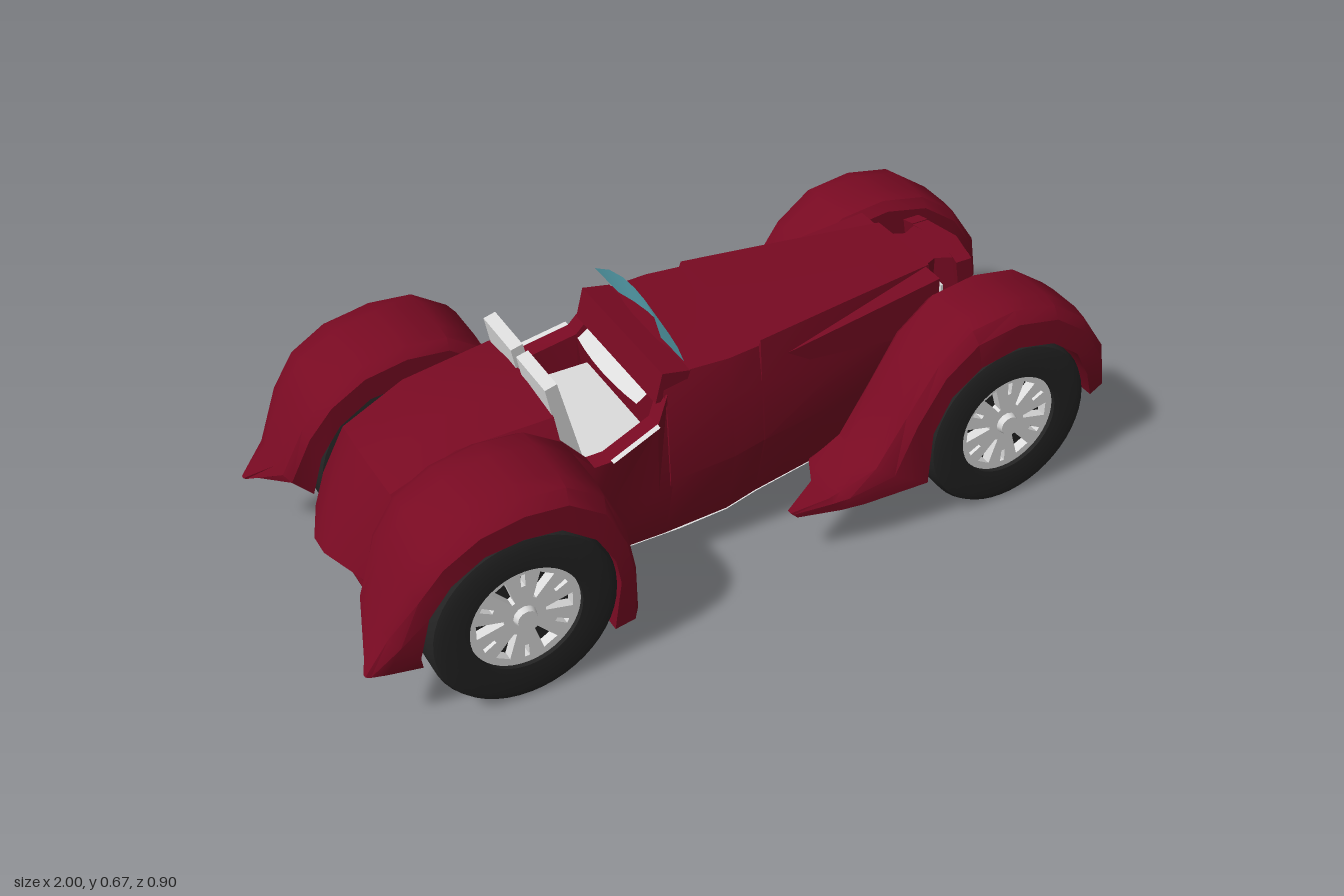
import * as THREE from 'three';
import { toCreasedNormals } from 'three/addons/utils/BufferGeometryUtils.js';

const mat = (name, color, side = THREE.FrontSide) => {
  const m = new THREE.MeshStandardMaterial({ color, side });
  m.name = name;
  return m;
};

// Closed solid through rings of [x, y, z] points, capped and oriented outwards
function loft(rings, crease) {
  const n = rings[0].length, pts = rings.flat().map(p => new THREE.Vector3(...p));
  let tris = [];
  for (let i = 0; i < rings.length - 1; i++) {
    for (let j = 0; j < n; j++) {
      const a = i * n + j, b = i * n + (j + 1) % n;
      tris.push([a, b, b + n], [a, b + n, a + n]);
    }
  }
  for (const [start, flip] of [[0, true], [(rings.length - 1) * n, false]]) {
    const c = new THREE.Vector3();
    for (let j = 0; j < n; j++) c.addScaledVector(pts[start + j], 1 / n);
    pts.push(c);
    for (let j = 0; j < n; j++) {
      const a = start + j, b = start + (j + 1) % n;
      tris.push(flip ? [pts.length - 1, b, a] : [pts.length - 1, a, b]);
    }
  }
  const volume = tris.reduce((s, [a, b, c]) =>
    s + pts[a].dot(new THREE.Vector3().crossVectors(pts[b], pts[c])), 0);
  if (volume < 0) tris = tris.map(([a, b, c]) => [a, c, b]);
  const g = new THREE.BufferGeometry().setFromPoints(pts);
  g.setIndex(tris.flat());
  return toCreasedNormals(g, crease);
}

// Open sheet between two rows of points
function sheet(rowA, rowB) {
  const n = rowA.length, index = [];
  const g = new THREE.BufferGeometry().setFromPoints(
    [...rowA, ...rowB].map(p => new THREE.Vector3(...p)));
  for (let i = 0; i < n - 1; i++) index.push(i, i + 1, i + 1 + n, i, i + 1 + n, i + n);
  g.setIndex(index);
  return toCreasedNormals(g, 0.5);
}

// Symmetric ring at x from a half outline of [y, halfWidth]; sweep bends the sides forward
const bodyRing = (x, half, sweep = 0) => [
  ...half.map(([y, z]) => [x + sweep * z, y, z]),
  ...half.slice().reverse().map(([y, z]) => [x + sweep * z, y, -z])];

export function createModel() {
  const car = new THREE.Group();
  const red = mat('darkRedPaint', 0x780a22);
  const pale = mat('paleGrey', 0xdcdcdc, THREE.DoubleSide);
  const black = mat('blackRubber', 0x232323);
  const glass = mat('blueGlass', 0x70cfe0, THREE.DoubleSide);
  const add = (name, geo, material, parent = car) => {
    const m = new THREE.Mesh(geo, material);
    m.name = name;
    parent.add(m);
    return m;
  };

  // Rear deck and pointed tail
  add('tail', loft([
    bodyRing(-0.96, [[0.165, 0.17], [0.18, 0.19], [0.2, 0.19], [0.225, 0.15], [0.235, 0.03]], 0.4),
    bodyRing(-0.91, [[0.155, 0.17], [0.2, 0.19], [0.27, 0.19], [0.32, 0.14], [0.33, 0.04]], 0.25),
    bodyRing(-0.83, [[0.14, 0.17], [0.22, 0.2], [0.36, 0.2], [0.43, 0.14], [0.45, 0.04]], 0.1),
    bodyRing(-0.66, [[0.11, 0.18], [0.25, 0.22], [0.42, 0.22], [0.5, 0.15], [0.52, 0.05]]),
    bodyRing(-0.43, [[0.1, 0.19], [0.25, 0.23], [0.42, 0.23], [0.52, 0.17], [0.54, 0.05]]),
  ], 0.45), red);

  // Cowl and tapering bonnet
  add('bonnet', loft([
    bodyRing(-0.17, [[0.1, 0.2], [0.28, 0.235], [0.46, 0.22], [0.55, 0.19], [0.555, 0.06]]),
    bodyRing(0, [[0.11, 0.2], [0.29, 0.235], [0.46, 0.22], [0.55, 0.2], [0.552, 0.06]]),
    bodyRing(0.085, [[0.124, 0.19], [0.3, 0.225], [0.45, 0.21], [0.55, 0.19], [0.552, 0.06]]),
    bodyRing(0.09, [[0.125, 0.19], [0.3, 0.225], [0.45, 0.21], [0.564, 0.19], [0.566, 0.06]]),
    bodyRing(0.35, [[0.14, 0.155], [0.3, 0.18], [0.42, 0.175], [0.564, 0.15], [0.566, 0.05]]),
    bodyRing(0.61, [[0.17, 0.11], [0.3, 0.125], [0.42, 0.125], [0.562, 0.11], [0.564, 0.04]]),
  ], 0.3), red);

  // Cowl lip and curved dashboard
  add('cowlLip', loft([-0.2, 0, 0.2].map(z => [
    [-0.19, 0.49, z], [-0.172, 0.566, z], [-0.1, 0.552, z], [-0.12, 0.49, z]]), 0.3), red);
  const ts = [-1, -0.67, -0.33, 0, 0.33, 0.67, 1];
  add('dashboard', sheet(ts.map(t => [-0.225 + 0.012 * t * t, 0.465, 0.15 * t]),
    ts.map(t => [-0.188 + 0.012 * t * t, 0.49, 0.15 * t])), pale);

  // Windscreen, bowed in plan with an arched top
  add('windscreen', sheet(ts.map(t => [-0.07 - 0.025 * t * t, 0.55, 0.162 * t]),
    ts.map(t => [-0.135 - 0.02 * t * t, 0.67 - 0.032 * Math.abs(t) ** 3, 0.162 * t])), glass);

  // Underside
  const floor = [[-0.88, 0.15, 0.13], [-0.66, 0.107, 0.18], [-0.4, 0.097, 0.2], [-0.13, 0.097, 0.2],
    [0, 0.106, 0.2], [0.09, 0.121, 0.19], [0.35, 0.137, 0.155], [0.61, 0.166, 0.108],
    [0.66, 0.172, 0.06], [0.76, 0.177, 0.08]];
  add('underside', sheet(floor, floor.map(([x, y, z]) => [x, y, -z])), pale);
  add('cockpitFloor', new THREE.BoxGeometry(0.28, 0.03, 0.4), red).position.set(-0.3, 0.122, 0);

  // Pointed radiator shell: plan outline stacked upwards, front leaning back
  const front = (y, z) => 0.83 - 0.3 * Math.abs(z) - 0.17 * (y - 0.18);
  add('radiatorShell', loft([0.18, 0.3, 0.45, 0.54].map(y => {
    const half = [[0.58, 0.1], [0.66, 0.065], [0.73, 0.1], [front(y, 0.112) - 0.028, 0.112]];
    return [...half.map(([x, z]) => [x, y, z]), [front(y, 0) - 0.028, y, 0],
      ...half.reverse().map(([x, z]) => [x, y, -z])];
  }), 0.3), red);
  // Raised frame bars: drops lower the centre of the bottom and top edges
  const bar = (name, zs, y0, y1, drop0 = 0, drop1 = 0) => add(name, loft(zs.map(z => {
    const a = z === 0 ? y0 - drop0 : y0, b = z === 0 ? y1 - drop1 : y1;
    return [[front(a, z) - 0.045, a, z], [front(a, z), a, z], [front(b, z), b, z],
      [front(b, z) - 0.045, b, z]];
  }), 0.3), red);
  const across = [-0.115, 0, 0.115];
  bar('grilleTopBar', across, 0.5, 0.545, 0.018, 0.01);
  bar('grilleMiddleBar', across, 0.3, 0.34);
  bar('grilleBottomBar', across, 0.185, 0.222, 0.015);
  bar('grilleLeftBar', [0.087, 0.115], 0.185, 0.545);
  bar('grilleRightBar', [-0.115, -0.087], 0.185, 0.545);
  const grille = (name, bottom, top) => {
    const row = y => [-0.088, 0, 0.088].map(z => [front(y, z) - 0.018, y, z]);
    add(name, sheet(row(bottom), row(top)), pale);
  };
  grille('upperGrille', 0.335, 0.505);
  grille('lowerGrille', 0.215, 0.305);

  // Wheel parts, axis along z
  const tyreGeo = h => {
    const g = new THREE.LatheGeometry([[0, -h], [0.2, -h], [0.22, -h + 0.006], [0.227, -h + 0.02],
      [0.227, h - 0.02], [0.22, h - 0.006], [0.2, h], [0.136, h - 0.004], [0.134, h - 0.045],
      [0, h - 0.045]].map(p => new THREE.Vector2(...p)), 48);
    return toCreasedNormals(g.rotateX(Math.PI / 2), 0.6);
  };
  const rim = new THREE.Shape().absarc(0, 0, 0.136, 0, Math.PI * 2);
  const cut = (a, r0, w0, r1, w1) => {
    const c = Math.cos(a), s = Math.sin(a);
    rim.holes.push(new THREE.Path([[r0, w0], [r1, w1], [r1, -w1], [r0, -w0]].map(([u, v]) =>
      new THREE.Vector2(u * c - v * s, u * s + v * c))));
  };
  for (let i = 0; i < 6; i++) {
    const a = i * Math.PI / 3;
    cut(a, 0.05, 0.004, 0.116, 0.019);
    cut(a + Math.PI / 6, 0.085, 0.005, 0.118, 0.006);
  }
  const rimGeo = new THREE.ExtrudeGeometry(rim, { depth: 0.025, bevelEnabled: false, curveSegments: 20 });
  const hubGeo = new THREE.CylinderGeometry(0.024, 0.03, 0.02, 12).rotateX(Math.PI / 2);
  const wheel = (name, x, z, h, s) => {
    const g = new THREE.Group();
    g.name = name;
    add('tyre', tyreGeo(h), black, g);
    add('rim', rimGeo, pale, g).position.z = h - 0.04;
    add('hub', hubGeo, pale, g).position.z = h - 0.01;
    g.position.set(x, 0.23, z * s);
    if (s < 0) g.rotation.y = Math.PI;
    car.add(g);
  };

  // Fender stations: outer x, y, inner x, y, inboard z, outboard z
  const frontFender = [
    [1, 0.25, 0.945, 0.22, 0.19, 0.37], [0.975, 0.36, 0.915, 0.3, 0.175, 0.383],
    [0.9, 0.47, 0.87, 0.38, 0.172, 0.388], [0.8, 0.54, 0.79, 0.44, 0.172, 0.39],
    [0.68, 0.562, 0.685, 0.462, 0.175, 0.39], [0.56, 0.545, 0.58, 0.44, 0.178, 0.39],
    [0.47, 0.475, 0.5, 0.38, 0.182, 0.39], [0.385, 0.35, 0.455, 0.29, 0.188, 0.39],
    [0.3, 0.23, 0.45, 0.145, 0.193, 0.39], [0.215, 0.185, 0.28, 0.135, 0.2, 0.375],
    [0.185, 0.177, 0.22, 0.135, 0.27, 0.367], [0.09, 0.16, 0.11, 0.14, 0.33, 0.345]];
  const rearFender = [
    [-1, 0.18, -0.87, 0.155, 0.375, 0.4], [-0.945, 0.27, -0.88, 0.2, 0.22, 0.418],
    [-0.89, 0.4, -0.86, 0.32, 0.19, 0.437], [-0.83, 0.475, -0.81, 0.4, 0.18, 0.45],
    [-0.74, 0.527, -0.73, 0.45, 0.18, 0.452], [-0.63, 0.55, -0.64, 0.46, 0.18, 0.452],
    [-0.52, 0.54, -0.55, 0.45, 0.18, 0.452], [-0.43, 0.48, -0.47, 0.39, 0.18, 0.452],
    [-0.38, 0.37, -0.425, 0.31, 0.18, 0.452], [-0.355, 0.24, -0.412, 0.24, 0.18, 0.45],
    [-0.345, 0.11, -0.425, 0.1, 0.18, 0.44]];
  const fender = (stations, s) => loft(stations.map(([ox, oy, ix, iy, z0, z1]) => {
    const w = z1 - z0;
    return [[0, 0], [0.75, 0], [0.96, 0.1], [1, 0.3], [1, 0.7], [0.92, 0.88], [0.65, 0.99], [0, 1]]
      .map(([t, u]) => [ix + (ox - ix) * t, iy + (oy - iy) * t, s * (z0 + w * u)]);
  }), 0.65);

  // Seat back side profile and full-width cushion
  const seatShape = new THREE.Shape([[-0.445, 0.592], [-0.415, 0.6], [-0.355, 0.36], [-0.4, 0.36]]
    .map(p => new THREE.Vector2(...p)));
  const seatGeo = new THREE.ExtrudeGeometry(seatShape, { depth: 0.148, bevelEnabled: false });
  add('seatCushion', new THREE.BoxGeometry(0.22, 0.23, 0.34), pale).position.set(-0.29, 0.255, 0);

  // Door stations: x, top y, top z
  const door = [[-0.43, 0.47, 0.23], [-0.37, 0.405, 0.245], [-0.33, 0.41, 0.25],
    [-0.2, 0.45, 0.23], [-0.165, 0.51, 0.21]];
  const trim = door.slice(2, 4);

  for (const s of [1, -1]) {
    const side = s > 0 ? 'left' : 'right';
    wheel(side + 'FrontWheel', 0.685, 0.292, 0.097, s);
    wheel(side + 'RearWheel', -0.64, 0.324, 0.124, s);
    add(side + 'FrontFender', fender(frontFender, s), red);
    add(side + 'RearFender', fender(rearFender, s), red);
    add(side + 'Door', loft(door.map(([x, y, z]) => [[x, 0.1, 0.2 * s], [x, 0.26, 0.232 * s],
      [x, y, z * s], [x, y, (z - 0.045) * s], [x, 0.1, 0.17 * s]]), 0.4), red);
    add(side + 'DoorTrim', sheet(trim.map(([x, y, z]) => [x, y + 0.003, (z + 0.012) * s]),
      trim.map(([x, y, z]) => [x, y + 0.003, (z - 0.003) * s])), pale);
    add(side + 'SeatBack', seatGeo, pale).position.z = s > 0 ? 0.014 : -0.162;
    // Lamp housing along the bonnet side with a pale lens
    add(side + 'LampHousing', loft([[0.15, 0.19, 0.47, 0.5], [0.6, 0.172, 0.41, 0.56]]
      .map(([x, z, y0, y1]) => [[x, y0, 0.1 * s], [x, y0, z * s], [x, y1, z * s], [x, y1, 0.1 * s]]),
    0.3), red);
    add(side + 'LampLens', new THREE.BoxGeometry(0.006, 0.118, 0.038), pale)
      .position.set(0.613, 0.475, 0.147 * s);
  }
  return car;
}
